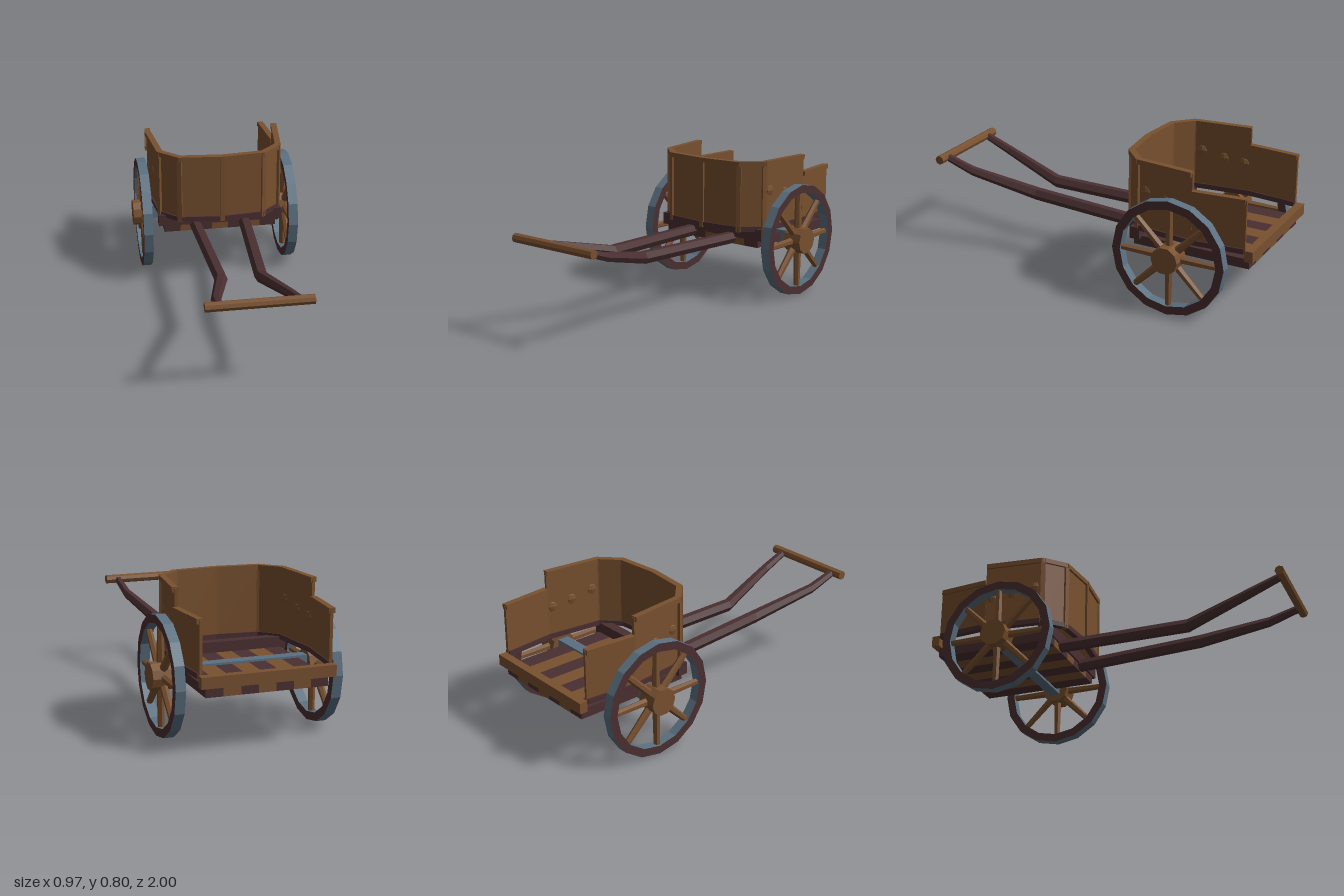
import * as THREE from 'three';

export function createModel() {
  const cart = new THREE.Group();
  cart.name = 'handcart';

  const material = (name, color) => {
    const m = new THREE.MeshStandardMaterial({ color });
    m.name = name;
    return m;
  };
  const wood = material('warmWood', 0x78502f);
  const dark = material('darkWood', 0x4a2f31);
  const steel = material('steel', 0x5b7080);

  // Faceted normals for low-poly parts
  const flat = (g) => {
    const f = g.index ? g.toNonIndexed() : g;
    f.computeVertexNormals();
    return f;
  };
  const add = (name, geometry, mat, parent = cart) => {
    const mesh = new THREE.Mesh(geometry, mat);
    mesh.name = name;
    parent.add(mesh);
    return mesh;
  };
  // Box given by its limits on each axis
  const box = (name, mat, x0, x1, y0, y1, z0, z1) => {
    const mesh = add(name, new THREE.BoxGeometry(x1 - x0, y1 - y0, z1 - z0), mat);
    mesh.position.set((x0 + x1) / 2, (y0 + y1) / 2, (z0 + z1) / 2);
    return mesh;
  };

  // Floor of alternating planks, cross beams and axle
  const plankW = 0.65 / 7;
  for (let i = 0; i < 7; i++) {
    const x = -0.325 + i * plankW;
    box('floorPlank', i % 2 ? wood : dark, x, x + plankW, 0.302, 0.355, -0.97, -0.31);
  }
  box('frontBeam', dark, -0.357, 0.357, 0.345, 0.412, -0.355, -0.3);
  box('rearBeam', wood, -0.357, 0.357, 0.355, 0.415, -1, -0.955);
  box('axle', steel, -0.4, 0.4, 0.288, 0.366, -0.6, -0.535);

  // Wheels: steel rim with dark side faces, spokes and hub
  const ngon = (Type, r) => {
    const pts = [];
    for (let i = 0; i < 16; i++) {
      const a = (i * Math.PI) / 8;
      pts.push(new THREE.Vector2(Math.cos(a) * r, Math.sin(a) * r));
    }
    return new Type(pts);
  };
  const rimShape = ngon(THREE.Shape, 0.32);
  rimShape.holes.push(ngon(THREE.Path, 0.274));
  const rimGeo = new THREE.ExtrudeGeometry(rimShape, { depth: 0.054, bevelEnabled: false });
  rimGeo.translate(0, 0, -0.027).rotateY(Math.PI / 2);
  const hubGeo = flat(new THREE.CylinderGeometry(0.075, 0.075, 0.108, 10)).rotateZ(Math.PI / 2);
  const spokeGeo = flat(new THREE.CylinderGeometry(0.017, 0.022, 0.235, 6)).translate(0, 0.1675, 0);
  for (const s of [1, -1]) {
    const wheel = new THREE.Group();
    wheel.name = s > 0 ? 'leftWheel' : 'rightWheel';
    wheel.position.set(s * 0.422, 0.32, -0.565);
    add('rim', rimGeo, [dark, steel], wheel);
    add('hub', hubGeo, wood, wheel).position.x = s * 0.009;
    for (let i = 0; i < 8; i++) {
      add('spoke', spokeGeo, wood, wheel).rotation.x = (i * Math.PI) / 4;
    }
    cart.add(wheel);
  }

  // Bent shafts: hexagonal sections [x, y, z, radius]
  const shaftPath = [
    [0.145, 0.337, -0.34, 0.035],
    [0.108, 0.36, 0.42, 0.036],
    [0.192, 0.455, 0.8, 0.027],
    [0.203, 0.515, 0.97, 0.022],
  ];
  const shaftGeometry = (s) => {
    const pos = [];
    const at = (k, i) => {
      const [x, y, z, r] = shaftPath[k];
      const a = (i * Math.PI) / 3;
      return [s * x + Math.cos(a) * r, y + Math.sin(a) * r, z];
    };
    const last = shaftPath.length - 1;
    for (let i = 0; i < 6; i++) {
      for (let k = 0; k < last; k++) {
        const a = at(k, i), b = at(k, i + 1), c = at(k + 1, i + 1), d = at(k + 1, i);
        pos.push(...a, ...b, ...c, ...a, ...c, ...d);
      }
      if (i > 0 && i < 5) {
        pos.push(...at(last, 0), ...at(last, i), ...at(last, i + 1));
        pos.push(...at(0, 0), ...at(0, i + 1), ...at(0, i));
      }
    }
    const g = new THREE.BufferGeometry();
    g.setAttribute('position', new THREE.Float32BufferAttribute(pos, 3));
    g.computeVertexNormals();
    return g;
  };
  add('leftShaft', shaftGeometry(1), dark);
  add('rightShaft', shaftGeometry(-1), dark);
  const handleGeo = flat(new THREE.CylinderGeometry(0.026, 0.026, 0.55, 8)).rotateZ(Math.PI / 2);
  add('handle', handleGeo, wood).position.set(0, 0.515, 0.974);

  // Body walls follow this half outline [x, z], mirrored
  const outline = [[0, -0.227], [0.237, -0.25], [0.337, -0.345], [0.373, -0.665], [0.345, -0.95]];
  // Upright slab between two outline points, shifted outward by "out"
  const slab = (name, mat, a, b, y0, y1, thick, out, extra, s) => {
    const dx = b[0] - a[0], dz = b[1] - a[1];
    const len = Math.hypot(dx, dz);
    const mesh = add(name, new THREE.BoxGeometry(thick, y1 - y0, len + extra), mat);
    mesh.position.set(
      s * ((a[0] + b[0]) / 2 - (dz / len) * out),
      (y0 + y1) / 2,
      (a[1] + b[1]) / 2 + (dx / len) * out
    );
    mesh.rotation.y = s * Math.atan2(dx, dz);
  };
  const studGeo = flat(new THREE.SphereGeometry(0.034, 8, 4)).scale(0.5, 1, 1);

  for (const s of [1, -1]) {
    for (let i = 0; i < 4; i++) {
      const a = outline[i], b = outline[i + 1];
      const top = i === 3 ? 0.695 : 0.795;
      slab('wallPanel', wood, a, b, 0.4, top - 0.008, 0.016, 0, 0.008, s);
      slab('topRail', wood, a, b, top - 0.027, top, 0.034, 0.003, i < 2 ? 0.012 : 0, s);
      slab('bottomRail', dark, a, b, 0.397, 0.425, 0.032, 0.001, i < 2 ? 0.01 : 0, s);
    }
    // Posts at the corners of the curved front
    [[0, -0.222, 0], [0.238, -0.247, 0.43], [0.34, -0.342, 1.1]].forEach(([x, z, turn], i) => {
      if (i === 0 && s < 0) return;
      const post = box('cornerPost', wood, -0.013, 0.013, 0.395, 0.792, -0.014, 0.014);
      post.position.x = s * x;
      post.position.z = z;
      post.rotation.y = s * turn;
    });
    // Studs passing through the side walls
    for (const [y, z] of [[0.625, -0.39], [0.598, -0.517], [0.583, -0.635]]) {
      const stud = add('sideStud', studGeo, wood);
      stud.position.set(s * (0.337 + ((-0.345 - z) / 0.32) * 0.036), y, z);
      stud.rotation.y = s * -0.11;
    }
  }
  return cart;
}
